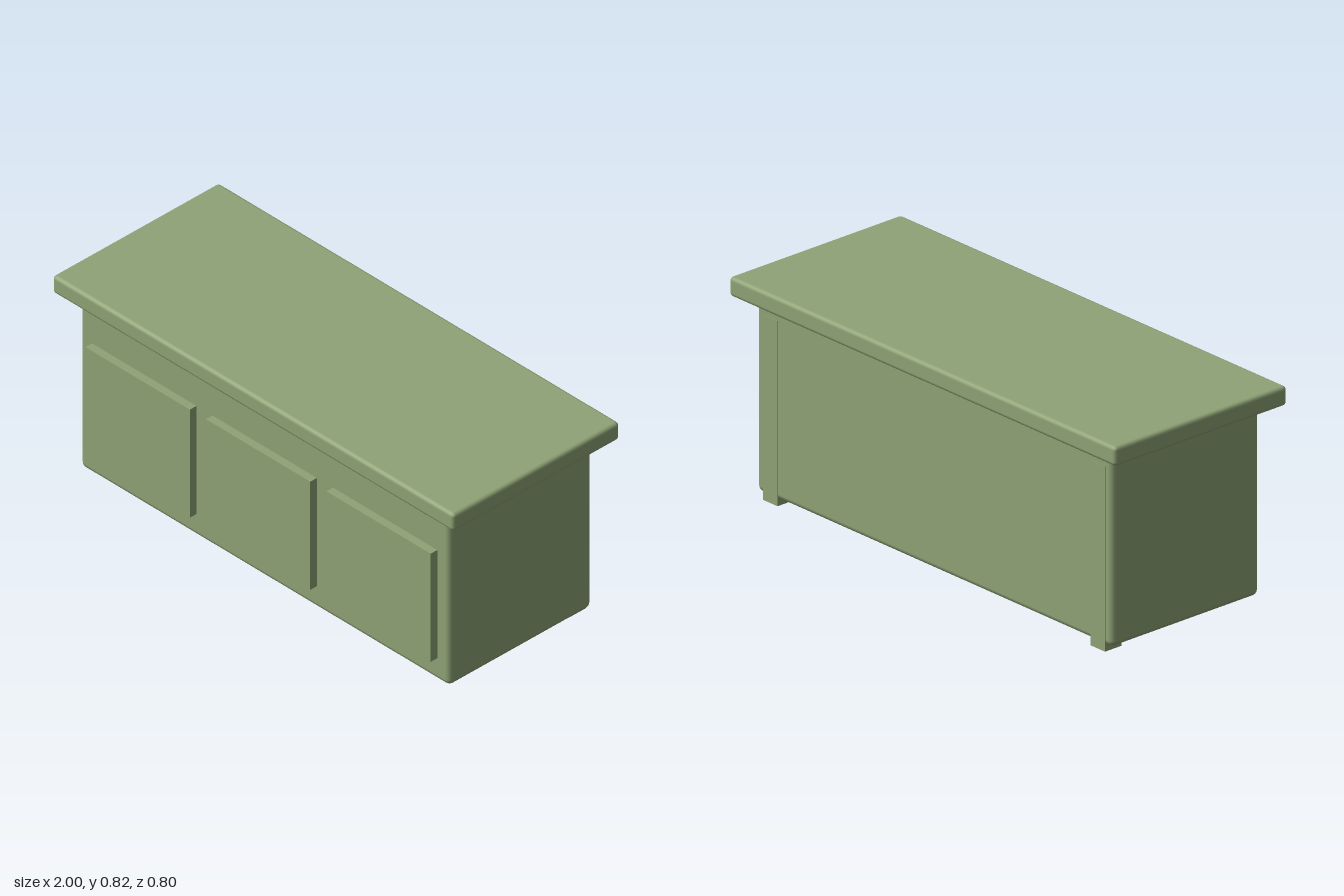
import * as THREE from 'three';
import { RoundedBoxGeometry } from 'three/addons/geometries/RoundedBoxGeometry.js';

export function createModel() {
  const group = new THREE.Group();
  const green = new THREE.MeshStandardMaterial({ color: 0x8fa376 });
  green.name = 'sage green';

  // Adds a part spanning the given min and max corners, rounded if a radius is given
  function addBox(name, min, max, radius = 0) {
    const size = max.map((v, i) => v - min[i]);
    const geometry = radius
      ? new RoundedBoxGeometry(...size, 2, radius)
      : new THREE.BoxGeometry(...size);
    const mesh = new THREE.Mesh(geometry, green);
    mesh.name = name;
    mesh.position.set(...max.map((v, i) => (v + min[i]) / 2));
    group.add(mesh);
  }

  // Cabinet body and overhanging top
  addBox('body', [-0.92, 0.023, -0.344], [0.92, 0.748, 0.344], 0.022);
  addBox('top', [-1, 0.75, -0.402], [1, 0.824, 0.402], 0.015);

  // Three raised front panels
  for (const x of [-0.6, 0, 0.6]) {
    addBox('frontPanel', [x - 0.26, 0.117, 0.33], [x + 0.26, 0.577, 0.376]);
  }

  // Posts let into the back, reaching the floor as short feet
  for (const [name, x] of [['backPostLeft', 0.847], ['backPostRight', -0.847]]) {
    addBox(name, [x - 0.038, 0, -0.346], [x + 0.038, 0.7, -0.269]);
  }

  return group;
}
